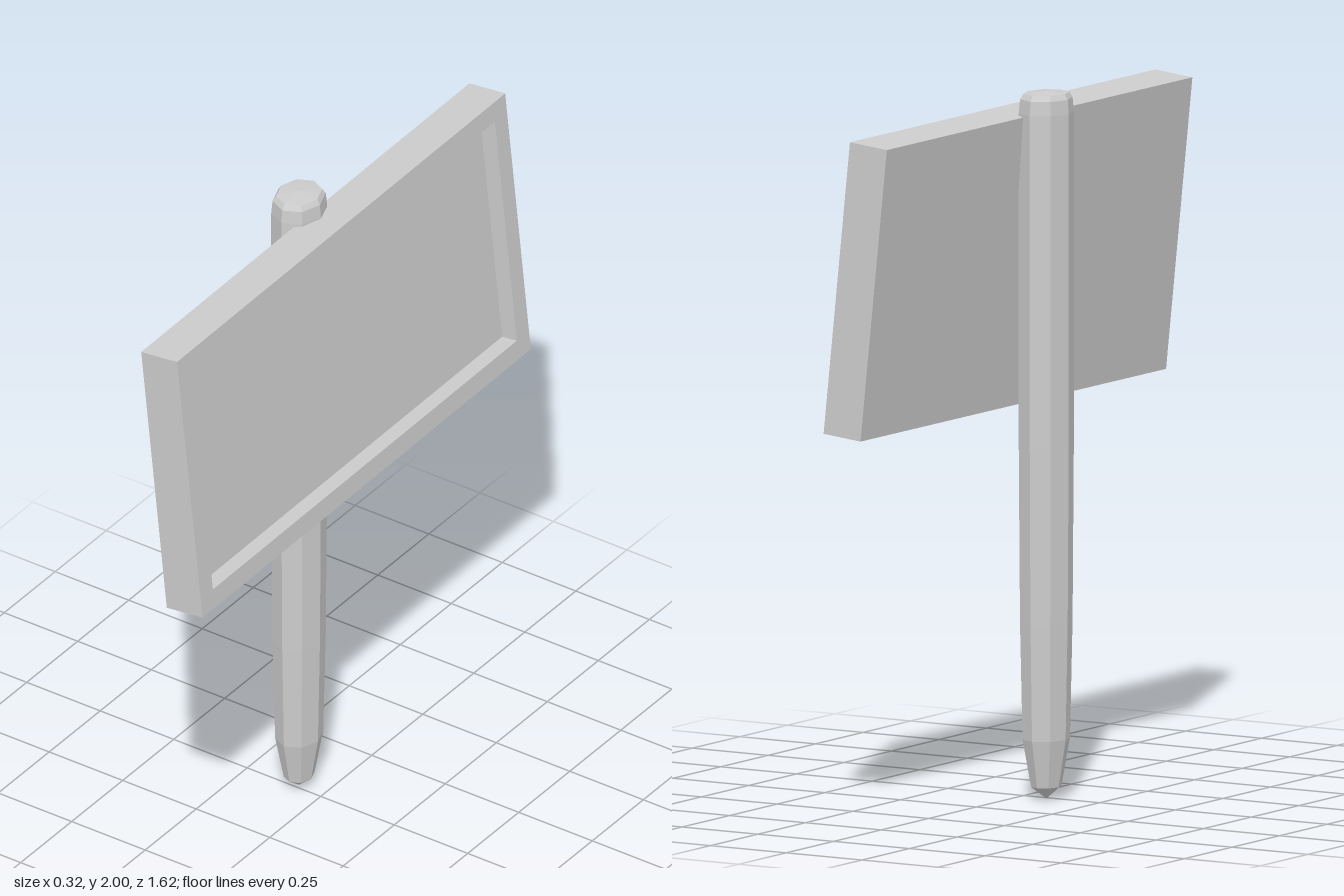
import * as THREE from 'three';

const grey = new THREE.MeshStandardMaterial({ color: 0xcccccc });
grey.name = 'plain grey';

function addPart(parent, name, geometry) {
  const flat = geometry.index ? geometry.toNonIndexed() : geometry;
  flat.computeVertexNormals(); // faceted look
  const mesh = new THREE.Mesh(flat, grey);
  mesh.name = name;
  parent.add(mesh);
  return mesh;
}

// Rectangle path centred on the origin
function rectangle(path, w, h) {
  path.moveTo(-w / 2, -h / 2);
  path.lineTo(w / 2, -h / 2);
  path.lineTo(w / 2, h / 2);
  path.lineTo(-w / 2, h / 2);
  path.closePath();
  return path;
}

export function createModel() {
  const model = new THREE.Group();
  model.name = 'signpost';

  // Eight-sided post: [radius, height] from the pointed foot to the bevelled top
  const profile = [
    [0, 0], [0.048, 0.035], [0.075, 0.17], [0.083, 0.5],
    [0.087, 1.0], [0.087, 1.94], [0.083, 1.98], [0.072, 1.995], [0, 2],
  ].map(([r, y]) => new THREE.Vector2(r, y));
  const postGeometry = new THREE.LatheGeometry(profile, 8);
  postGeometry.scale(0.85, 1, 1);
  const post = addPart(model, 'post', postGeometry);
  post.position.set(-0.083, 0, -0.014);

  // Tilted board facing +x: a solid back with a raised frame
  const length = 1.62, height = 0.835, depth = 0.122, recess = 0.05, border = 0.06;
  const board = new THREE.Group();
  board.name = 'board';
  board.position.set(0.052, 1.522, 0);
  board.rotation.set(0.003, 0.005, 0.102);
  model.add(board);

  const back = addPart(board, 'boardPanel', new THREE.BoxGeometry(depth - recess, height, length));
  back.position.x = -recess / 2;

  const frameShape = rectangle(new THREE.Shape(), length, height);
  frameShape.holes.push(rectangle(new THREE.Path(), length - 2 * border, height - 2 * border));
  const frameGeometry = new THREE.ExtrudeGeometry(frameShape, { depth: recess, bevelEnabled: false });
  frameGeometry.rotateY(Math.PI / 2);
  const frame = addPart(board, 'boardFrame', frameGeometry);
  frame.position.x = depth / 2 - recess;

  return model;
}
